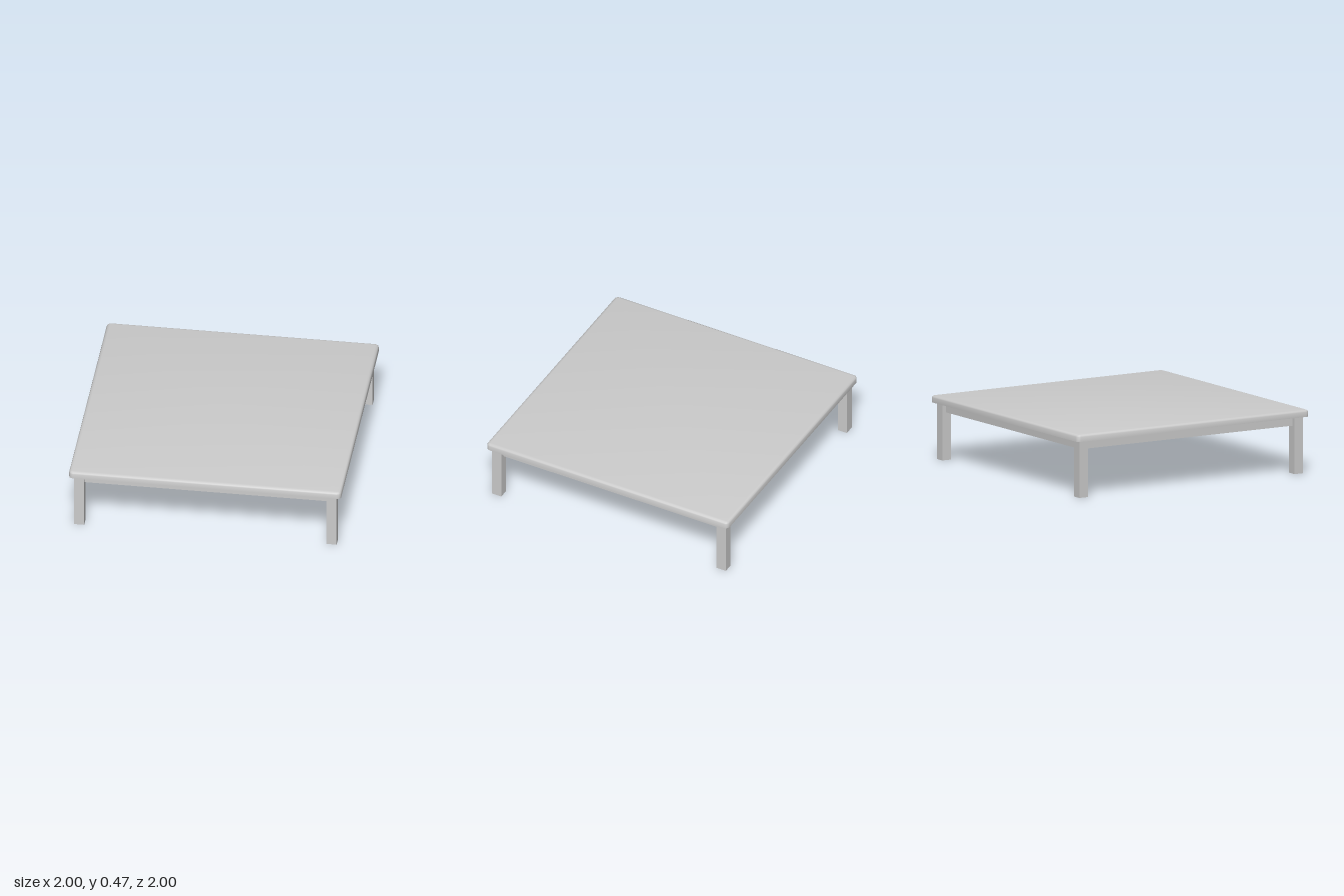
import * as THREE from 'three';
import { toCreasedNormals } from 'three/addons/utils/BufferGeometryUtils.js';

const TOP = 0.472, UNDER = 0.42;
const LEG = 0.075, LEG_POS = 0.928;
const APRON_H = 0.067, APRON_T = 0.015;

// Square outline with small rounded corners, pulled in by inset
function outline(inset, radius = 0.03, steps = 3) {
  const pts = [];
  const c = 1 - radius, r = radius - inset;
  [[1, 1], [-1, 1], [-1, -1], [1, -1]].forEach(([sx, sz], k) => {
    for (let i = 0; i <= steps; i++) {
      const a = (k + i / steps) * Math.PI / 2;
      pts.push([sx * c + r * Math.cos(a), sz * c + r * Math.sin(a)]);
    }
  });
  return pts;
}

// Slab lofted through stacked outlines: flat below, rounded over on top
function slabGeometry() {
  const sections = [[0, UNDER], [0, 0.455], [0.004, 0.463], [0.012, 0.469], [0.025, TOP]];
  const pos = [], idx = [];
  const n = outline(0).length;
  for (const [inset, y] of sections) {
    for (const [x, z] of outline(inset)) pos.push(x, y, z);
  }
  const last = (sections.length - 1) * n;
  const bottom = pos.length / 3, top = bottom + 1;
  pos.push(0, UNDER, 0, 0, TOP, 0);
  for (let i = 0; i < n; i++) {
    const j = (i + 1) % n;
    for (let s = 0; s < last; s += n) {
      idx.push(s + i, s + n + i, s + j, s + j, s + n + i, s + n + j);
    }
    idx.push(bottom, i, j, top, last + j, last + i);
  }
  const g = new THREE.BufferGeometry();
  g.setAttribute('position', new THREE.Float32BufferAttribute(pos, 3));
  g.setIndex(idx);
  return toCreasedNormals(g, 0.8);
}

// Square tube, open at both ends
function legGeometry() {
  const g = new THREE.CylinderGeometry(LEG / Math.SQRT2, LEG / Math.SQRT2, UNDER, 4, 1, true);
  g.rotateY(Math.PI / 4);
  return toCreasedNormals(g, 0.5);
}

export function createModel() {
  const model = new THREE.Group();
  model.name = 'lowTable';
  const solid = new THREE.MeshStandardMaterial({ color: 0xcccccc });
  const open = new THREE.MeshStandardMaterial({ color: 0xcccccc, side: THREE.DoubleSide });

  const tableTop = new THREE.Mesh(slabGeometry(), solid);
  tableTop.name = 'tableTop';
  model.add(tableTop);

  // Legs at the four corners
  const legGeo = legGeometry();
  for (const z of [1, -1]) {
    for (const x of [1, -1]) {
      const leg = new THREE.Mesh(legGeo, open);
      leg.name = (z > 0 ? 'front' : 'back') + (x > 0 ? 'Left' : 'Right') + 'Leg';
      leg.position.set(x * LEG_POS, UNDER / 2, z * LEG_POS);
      model.add(leg);
    }
  }

  // Apron rails running between the middles of the legs
  const railGeo = new THREE.BoxGeometry(2 * LEG_POS - LEG, APRON_H, APRON_T);
  ['front', 'left', 'back', 'right'].forEach((side, i) => {
    const a = i * Math.PI / 2;
    const rail = new THREE.Mesh(railGeo, solid);
    rail.name = side + 'Apron';
    rail.position.set(Math.sin(a) * LEG_POS, UNDER - APRON_H / 2, Math.cos(a) * LEG_POS);
    rail.rotation.y = a;
    model.add(rail);
  });

  return model;
}
